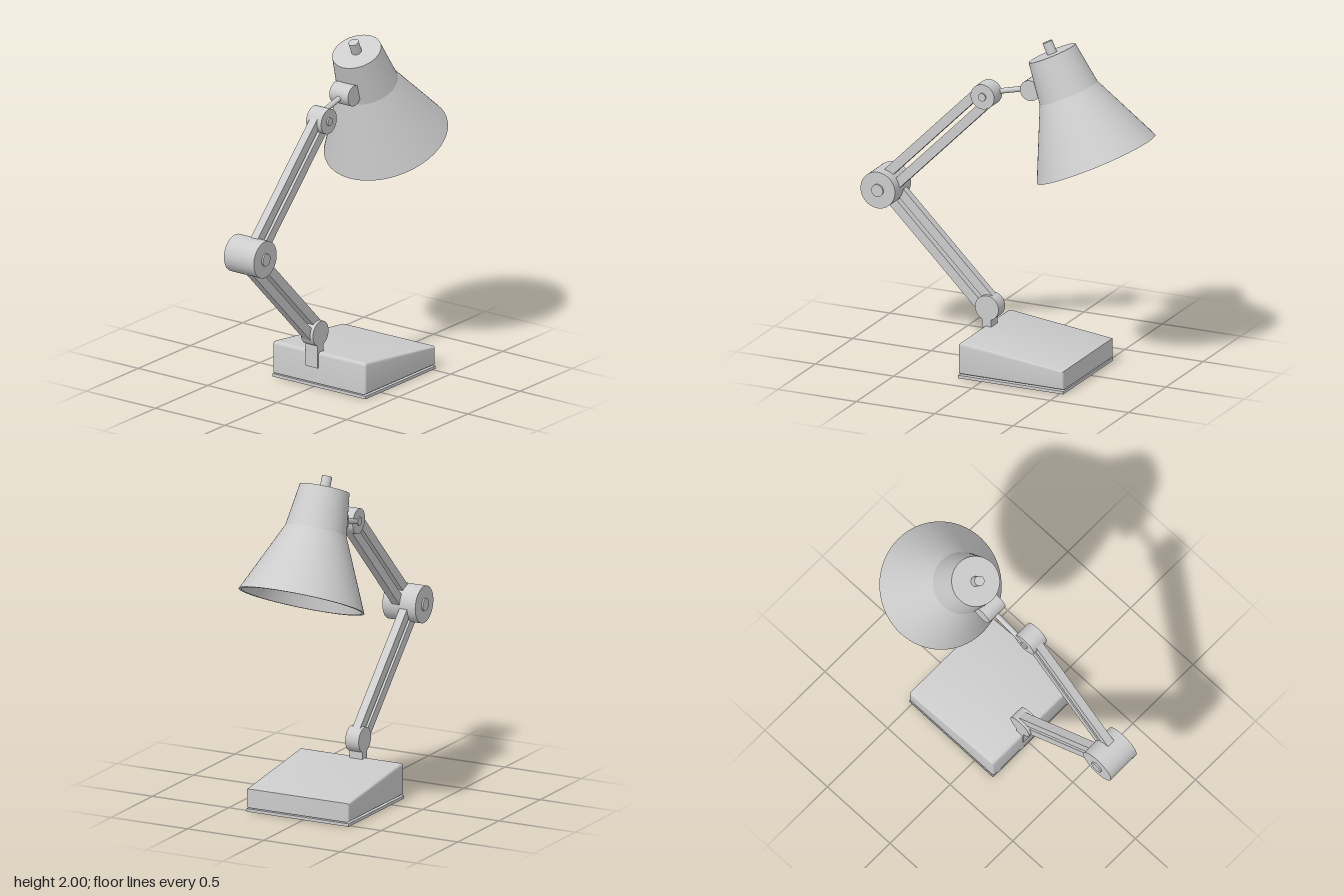
import * as THREE from 'three';
import { toCreasedNormals } from 'three/addons/utils/BufferGeometryUtils.js';

export function createModel() {
  const model = new THREE.Group();
  const grey = new THREE.MeshStandardMaterial({ color: 0xcccccc });
  grey.name = 'light grey';

  function add(name, geometry, parent = model) {
    const mesh = new THREE.Mesh(geometry, grey);
    mesh.name = name;
    parent.add(mesh);
    return mesh;
  }

  // Cylinder lying along x, from x0 to x1, centred on (y, z)
  function disc(name, x0, x1, r, [y, z]) {
    const mesh = add(name, new THREE.CylinderGeometry(r, r, x1 - x0, 48));
    mesh.rotation.z = Math.PI / 2;
    mesh.position.set((x0 + x1) / 2, y, z);
  }

  // Group whose y axis runs from a to b in the side plane
  function span(name, x, a, b) {
    const g = new THREE.Group();
    g.name = name;
    g.position.set(x, (a[0] + b[0]) / 2, (a[1] + b[1]) / 2);
    g.rotation.x = Math.atan2(b[1] - a[1], b[0] - a[0]);
    model.add(g);
    return { g, length: Math.hypot(b[0] - a[0], b[1] - a[1]) };
  }

  // Arm made of two parallel bars
  function arm(name, x, a, b) {
    const { g, length } = span(name, x, a, b);
    for (const side of [-1, 1]) {
      add('armBar', new THREE.BoxGeometry(0.05, length, 0.057), g).position.z = side * 0.041;
    }
  }

  // Pivot centres as [y, z]
  const foot = [0.325, 0.127];
  const elbow = [0.975, 0.78];
  const wrist = [1.63, 0.127];
  const neck = [1.7, -0.16];

  // Wedge base: side profile extruded across x, with a small bevel
  const bevel = 0.012;
  const profile = new THREE.Shape();
  profile.moveTo(-0.136, 0.037);
  profile.lineTo(0.51, 0.037);
  profile.lineTo(0.51, 0.127);
  profile.lineTo(-0.125, 0.203);
  profile.quadraticCurveTo(-0.136, 0.204, -0.136, 0.192);
  const wedge = new THREE.ExtrudeGeometry(profile, {
    depth: 0.67 - 2 * bevel, bevelThickness: bevel, bevelSize: bevel, bevelSegments: 3, curveSegments: 6,
  });
  const base = add('base', toCreasedNormals(wedge, 0.6));
  base.rotation.y = Math.PI / 2;
  base.position.x = -0.297 + bevel;

  add('basePlate', new THREE.BoxGeometry(0.67, 0.018, 0.67)).position.set(0.038, 0.009, -0.187);
  add('bracket', new THREE.BoxGeometry(0.086, 0.2, 0.058)).position.set(-0.009, 0.22, 0.129);

  // Joints and their pins
  disc('footJoint', -0.053, 0.035, 0.075, foot);
  disc('elbowJoint', -0.09, 0.125, 0.11, elbow);
  disc('elbowPin', -0.1, 0.135, 0.037, elbow);
  disc('wristJoint', -0.014, 0.094, 0.075, wrist);
  disc('wristPin', -0.022, 0.104, 0.024, wrist);
  disc('neckJoint', -0.072, 0.062, 0.062, neck);

  arm('lowerArm', -0.011, foot, elbow);
  arm('upperArm', 0.038, elbow, wrist);

  // Thin rod carrying the lamp head
  const rod = span('neckRod', -0.006, wrist, neck);
  add('rod', new THREE.CylinderGeometry(0.016, 0.016, rod.length, 20), rod.g);

  // Lamp head: origin at the centre of the top cap, y along the shade axis
  const head = new THREE.Group();
  head.name = 'lampHead';
  head.position.set(-0.005, 1.926, -0.271);
  head.rotation.x = 0.435;
  model.add(head);

  // Hollow shade: down the inside, around the rim, up the outside
  const shade = [
    [0, -0.015], [0.131, -0.015], [0.165, -0.252], [0.354, -0.667],
    [0.37, -0.667], [0.18, -0.25], [0.146, 0], [0, 0],
  ].map(([r, y]) => new THREE.Vector2(r, y));
  add('shade', toCreasedNormals(new THREE.LatheGeometry(shade, 64), 0.25), head);

  add('knob', new THREE.CylinderGeometry(0.03, 0.03, 0.08, 32), head).position.y = 0.032;
  add('bulb', new THREE.SphereGeometry(0.155, 40, 24), head).position.y = -0.39;
  add('bulbSocket', new THREE.CylinderGeometry(0.07, 0.07, 0.25, 32), head).position.y = -0.137;

  return model;
}
